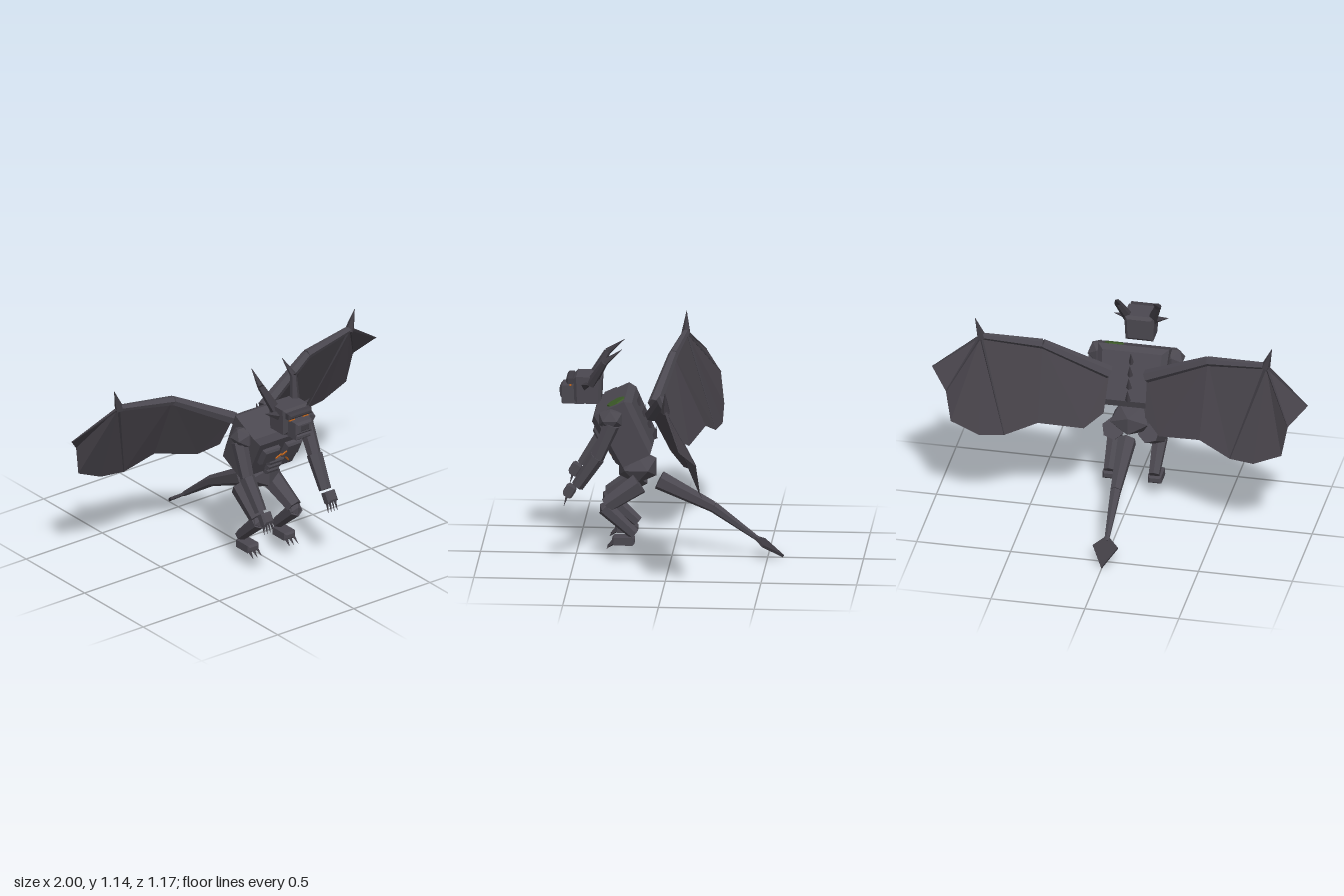
import * as THREE from 'three';

const paint = (name, color, side = THREE.FrontSide) => {
  const m = new THREE.MeshStandardMaterial({ color, side });
  m.name = name;
  return m;
};
const V = (x, y, z) => new THREE.Vector3(x, y, z);

export function createModel() {
  const stone = paint('stone', 0x4b4850);
  const wingSkin = paint('wing skin', 0x454148, THREE.DoubleSide);
  const dark = paint('dark stone', 0x3f3c43);
  const glow = paint('ember glow', 0xc8681c);
  const moss = paint('moss', 0x3c5a28);

  const model = new THREE.Group();
  model.name = 'wingedStatue';

  // Faceted mesh: every face gets its own flat normal
  const add = (parent, name, geometry, material) => {
    const g = geometry.index ? geometry.toNonIndexed() : geometry;
    g.computeVertexNormals();
    const mesh = new THREE.Mesh(g, material);
    mesh.name = name;
    parent.add(mesh);
    return mesh;
  };

  // Box with chamfered edges; bottom is the width/depth factor at the lower end
  const block = (parent, name, size, at, bevel, material = stone, bottom = 1) => {
    const [w, h, d] = size;
    const x = w / 2 - bevel, y = h / 2 - bevel;
    const shape = new THREE.Shape([
      new THREE.Vector2(-x, -y), new THREE.Vector2(x, -y),
      new THREE.Vector2(x, y), new THREE.Vector2(-x, y)]);
    const g = new THREE.ExtrudeGeometry(shape, {
      depth: d - 2 * bevel, bevelEnabled: true, bevelSegments: 1,
      bevelSize: bevel, bevelThickness: bevel,
    });
    g.translate(0, 0, bevel - d / 2);
    const p = g.attributes.position;
    for (let i = 0; i < p.count; i++) {
      const k = THREE.MathUtils.lerp(bottom, 1, p.getY(i) / h + 0.5);
      p.setX(i, p.getX(i) * k);
      p.setZ(i, p.getZ(i) * k);
    }
    const mesh = add(parent, name, g, material);
    mesh.position.set(...at);
    return mesh;
  };

  // Tapered prism from point a to point b
  const limb = (parent, name, a, b, r0, r1, material = stone, sides = 6) => {
    const dir = b.clone().sub(a);
    const mesh = add(parent, name, new THREE.CylinderGeometry(r1, r0, dir.length(), sides), material);
    mesh.position.copy(a).add(b).multiplyScalar(0.5);
    mesh.quaternion.setFromUnitVectors(V(0, 1, 0), dir.normalize());
    return mesh;
  };

  const knob = (parent, name, at, sx, sy, sz) => {
    const g = new THREE.IcosahedronGeometry(1, 0);
    g.scale(sx, sy, sz);
    add(parent, name, g, stone).position.set(...at);
  };

  // Leaning torso with chest plates
  const torso = new THREE.Group();
  torso.name = 'torso';
  torso.position.set(0, 0.70, 0.245);
  torso.rotation.x = 0.46;
  model.add(torso);
  block(torso, 'trunk', [0.38, 0.32, 0.235], [0, 0, 0], 0.03, stone, 0.9);
  for (const s of [-1, 1]) {
    block(torso, 'chestPlate', [0.105, 0.1, 0.04], [s * 0.073, 0.032, 0.123], 0.01);
  }
  for (let i = 0; i < 3; i++) {
    block(torso, 'bellyPlate', [0.1 - i * 0.008, 0.03, 0.035], [0, -0.05 - i * 0.036, 0.115], 0.007);
  }
  for (let i = 0; i < 4; i++) {
    const y = 0.1 - i * 0.065;
    limb(torso, 'spineSpike', V(0, y - 0.03, -0.108), V(0, y + 0.022, -0.146), 0.016, 0.001, dark, 4);
  }

  // Glowing cracks, thin strips on the chest
  const crack = (points, z) => {
    for (let i = 0; i + 1 < points.length; i++) {
      const [x0, y0] = points[i], [x1, y1] = points[i + 1];
      const strip = add(torso, 'glowingCrack',
        new THREE.BoxGeometry(Math.hypot(x1 - x0, y1 - y0) + 0.004, 0.008, 0.006), glow);
      strip.position.set((x0 + x1) / 2, (y0 + y1) / 2, z);
      strip.rotation.z = Math.atan2(y1 - y0, x1 - x0);
    }
  };
  crack([[-0.035, 0.01], [-0.012, 0.03], [0.005, 0.024], [0.025, 0.042]], 0.145);
  crack([[0.045, -0.024], [0.07, -0.052], [0.1, -0.088]], 0.116);

  // Moss patch on the left shoulder
  const patch = add(torso, 'mossPatch', new THREE.CylinderGeometry(0.05, 0.055, 0.008, 7), moss);
  patch.position.set(0.11, 0.162, -0.035);

  // Head
  const head = new THREE.Group();
  head.name = 'head';
  model.add(head);
  block(head, 'skull', [0.16, 0.145, 0.15], [0, 0.908, 0.437], 0.016, stone, 0.92);
  block(head, 'muzzle', [0.108, 0.07, 0.14], [0, 0.892, 0.512], 0.012);
  block(head, 'nose', [0.06, 0.04, 0.02], [0, 0.895, 0.575], 0.006, dark);
  block(head, 'jaw', [0.096, 0.028, 0.125], [0, 0.841, 0.513], 0.007);
  block(head, 'brow', [0.15, 0.032, 0.045], [0, 0.956, 0.527], 0.01, dark);
  for (const s of [-1, 1]) {
    const eye = add(head, 'eye', new THREE.BoxGeometry(0.036, 0.016, 0.009), glow);
    eye.position.set(s * 0.045, 0.934, 0.527);
    limb(head, 'ear', V(s * 0.065, 0.93, 0.45), V(s * 0.145, 0.957, 0.43), 0.026, 0.001, dark, 4);
    const bend = V(s * 0.108, 1.07, 0.345);
    limb(head, 'hornBase', V(s * 0.06, 0.94, 0.42), bend, 0.029, 0.018, dark, 6);
    limb(head, 'hornTip', bend, V(s * 0.1, 1.14, 0.255), 0.018, 0.001, dark, 6);
  }

  // Hips
  knob(model, 'pelvis', [0, 0.482, 0.18], 0.118, 0.09, 0.115);

  // Tail with a flat arrow tip
  const tailMid = V(0, 0.27, -0.215), tailEnd = V(0, 0.1, -0.45);
  limb(model, 'tailBase', V(0, 0.41, 0.067), tailMid, 0.052, 0.03);
  limb(model, 'tailEnd', tailMid, tailEnd, 0.03, 0.013);
  const arrow = new THREE.ExtrudeGeometry(new THREE.Shape([
    new THREE.Vector2(0, -0.03), new THREE.Vector2(0.067, 0.035),
    new THREE.Vector2(0, 0.16), new THREE.Vector2(-0.067, 0.035)]),
  { depth: 0.014, bevelEnabled: false });
  arrow.translate(0, 0, -0.007);
  const tip = add(model, 'tailTip', arrow, dark);
  tip.position.copy(tailEnd);
  tip.rotation.x = -Math.PI / 2 - 0.6;

  for (const s of [-1, 1]) {
    const side = s > 0 ? 'left' : 'right';
    const P = (x, y, z) => V(s * x, y, z);

    // Arm
    const arm = new THREE.Group();
    arm.name = side + 'Arm';
    model.add(arm);
    knob(arm, 'shoulder', [s * 0.2, 0.79, 0.308], 0.062, 0.062, 0.07);
    limb(arm, 'upperArm', P(0.215, 0.765, 0.3), P(0.222, 0.575, 0.38), 0.043, 0.036);
    limb(arm, 'forearm', P(0.222, 0.59, 0.375), P(0.212, 0.428, 0.48), 0.042, 0.033);
    const hand = block(arm, 'hand', [0.064, 0.06, 0.055], [s * 0.21, 0.402, 0.52], 0.01);
    hand.rotation.x = -0.55;
    for (let i = 0; i < 4; i++) {
      const x = 0.186 + i * 0.016;
      limb(arm, 'fingerClaw', P(x, 0.385, 0.53), P(x + (i - 1.5) * 0.004, 0.328, 0.548), 0.009, 0.001, dark, 4);
    }

    // Leg
    const leg = new THREE.Group();
    leg.name = side + 'Leg';
    model.add(leg);
    limb(leg, 'thigh', P(0.095, 0.415, 0.165), P(0.12, 0.3, 0.335), 0.06, 0.043);
    knob(leg, 'knee', [s * 0.12, 0.285, 0.335], 0.04, 0.04, 0.04);
    limb(leg, 'shin', P(0.12, 0.29, 0.345), P(0.12, 0.148, 0.188), 0.042, 0.031);
    block(leg, 'foot', [0.072, 0.042, 0.118], [s * 0.12, 0.115, 0.245], 0.01);
    for (let i = -1; i <= 1; i++) {
      limb(leg, 'toeClaw', P(0.12 + i * 0.024, 0.11, 0.29), P(0.12 + i * 0.028, 0.075, 0.332), 0.012, 0.001, dark, 4);
    }

    // Wing: arm bones, finger ribs, thumb spike and skin
    const wing = new THREE.Group();
    wing.name = side + 'Wing';
    model.add(wing);
    const root = P(0.1, 0.79, 0.1), elbow = P(0.44, 0.965, 0.025), wrist = P(0.76, 1.0, -0.02);
    const end = P(1.0, 0.838, -0.11);
    const edge = [P(0.91, 0.745, -0.19), P(0.88, 0.58, -0.21), P(0.73, 0.515, -0.212),
      P(0.6, 0.515, -0.185), P(0.43, 0.585, -0.145), P(0.2, 0.54, -0.075), P(0.11, 0.6, 0)];
    limb(wing, 'upperWingBone', root, elbow, 0.036, 0.026);
    limb(wing, 'foreWingBone', elbow, wrist, 0.026, 0.018);
    limb(wing, 'thumbSpike', P(0.755, 0.99, -0.02), P(0.79, 1.104, -0.02), 0.026, 0.001, dark, 5);
    limb(wing, 'fingerRib', wrist, end, 0.01, 0.003, dark, 4);
    for (const i of [0, 3]) limb(wing, 'fingerRib', wrist, edge[i], 0.009, 0.003, dark, 4);

    const fan = [
      [wrist, end, edge[0]], [wrist, edge[0], edge[1]], [wrist, edge[1], edge[2]],
      [wrist, edge[2], edge[3]], [elbow, wrist, edge[3]], [elbow, edge[3], edge[4]],
      [elbow, edge[4], edge[5]], [root, elbow, edge[5]], [root, edge[5], edge[6]]];
    const corners = fan.flatMap(([a, b, c]) => (s > 0 ? [a, c, b] : [a, b, c]));
    add(wing, 'wingSkin', new THREE.BufferGeometry().setFromPoints(corners), wingSkin);
  }

  return model;
}
